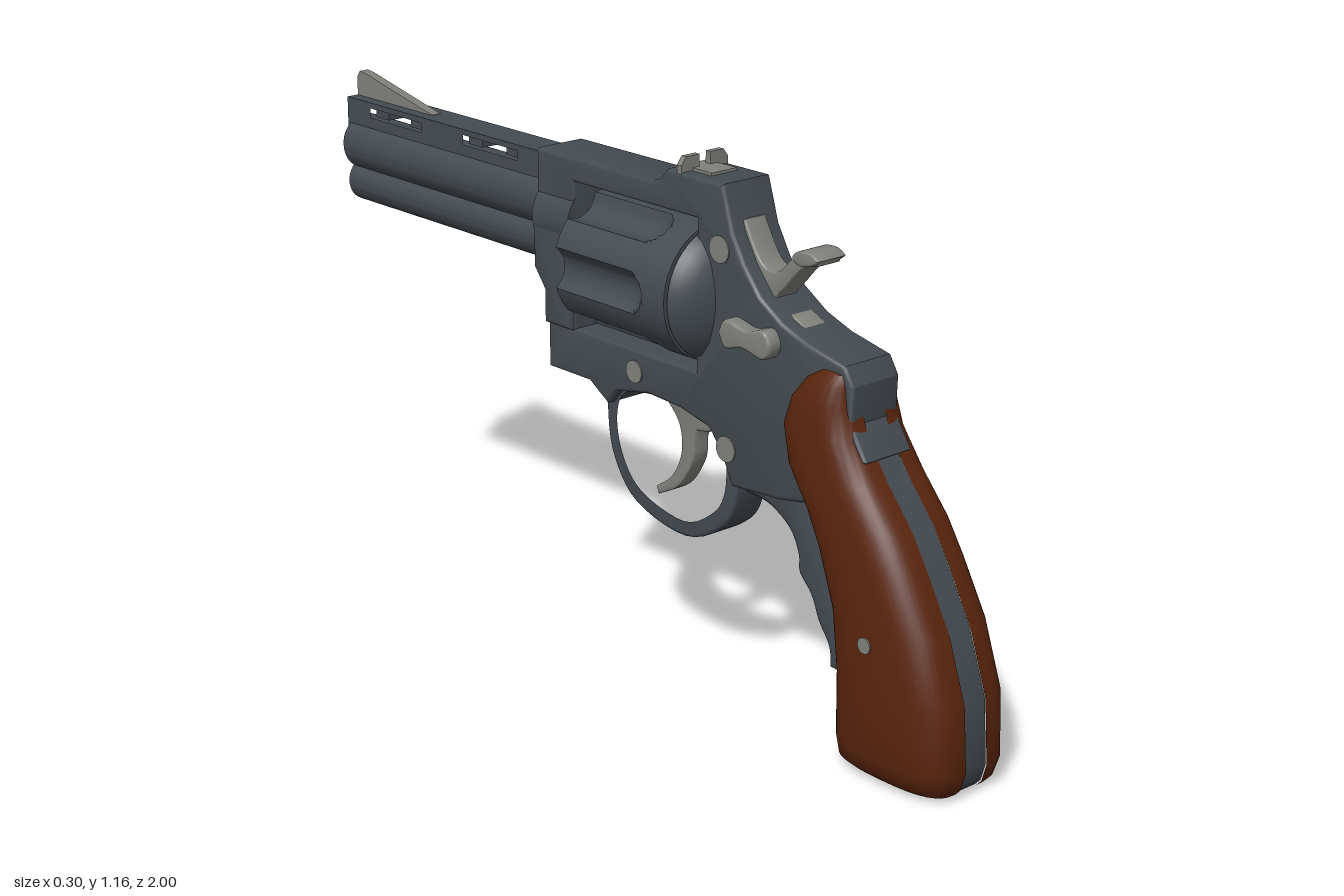
import * as THREE from 'three';
import { toCreasedNormals } from 'three/addons/utils/BufferGeometryUtils.js';

const gunmetal = new THREE.MeshStandardMaterial({ color: 0x444b51 });
gunmetal.name = 'gunmetal';
const steel = new THREE.MeshStandardMaterial({ color: 0x80807b });
steel.name = 'steel';
const wood = new THREE.MeshStandardMaterial({ color: 0x5a250c });
wood.name = 'wood';

const CYL_Y = 0.873, BORE_Y = 0.973;
const vecs = (pts) => pts.map(([a, b]) => new THREE.Vector2(a, b));

// Smooth outline through a few points
function spline(pts, closed = false) {
  const p = closed ? [...pts, pts[0]] : pts;
  return new THREE.SplineCurve(vecs(p)).getPoints(pts.length * 5).map((v) => [v.x, v.y]);
}

// Side profile in (z, y), extruded to +-half in x
function slab(pts, half, bevel = 0, holes = []) {
  const shape = new THREE.Shape(vecs(pts));
  holes.forEach((h) => shape.holes.push(new THREE.Path(vecs(h))));
  const g = new THREE.ExtrudeGeometry(shape, {
    depth: 2 * (half - bevel), bevelEnabled: bevel > 0, bevelSize: bevel,
    bevelThickness: bevel, bevelOffset: -bevel, bevelSegments: 3,
  });
  g.translate(0, 0, bevel - half).rotateY(-Math.PI / 2);
  return toCreasedNormals(g, 0.6);
}

// Turned part along z; profile in (radius, -z)
function turned(pts, y) {
  const g = new THREE.LatheGeometry(vecs(pts), 48);
  g.rotateX(-Math.PI / 2).translate(0, y, 0);
  return toCreasedNormals(g, 0.5);
}

const rect = (z0, z1, y0, y1) => [[z0, y0], [z1, y0], [z1, y1], [z0, y1]];

function box(w, h, d, x, y, z) {
  return new THREE.BoxGeometry(w, h, d).translate(x, y, z);
}

// Radius of the fluted cylinder at angle a and depth z
function fluteRadius(a, z) {
  const step = Math.PI / 3, d = a - Math.round(a / step) * step;
  const D = 0.17, q = 0.05 ** 2 - Math.max(0, z - 0.125) ** 2 - (D * Math.sin(d)) ** 2;
  return q > 0 ? Math.min(0.15, D * Math.cos(d) - Math.sqrt(q)) : 0.15;
}

// Grip rows: y, back z, front z, half width
const gripRows = [
  [0, 0.96, 0.72, 0.03], [0.006, 0.975, 0.7, 0.095], [0.02, 0.988, 0.688, 0.112],
  [0.06, 1, 0.684, 0.122], [0.2, 0.99, 0.685, 0.126], [0.334, 0.944, 0.668, 0.122],
  [0.45, 0.88, 0.625, 0.118], [0.52, 0.837, 0.588, 0.115], [0.6, 0.77, 0.532, 0.111],
  [0.68, 0.712, 0.515, 0.106], [0.74, 0.692, 0.535, 0.1], [0.785, 0.687, 0.572, 0.09],
  [0.81, 0.682, 0.61, 0.075], [0.82, 0.67, 0.64, 0.03],
];

function gripPanel(side) {
  const n = 25, pos = [], idx = [];
  gripRows.forEach(([y, zb, zf, w], r) => {
    for (let i = 0; i < n; i++) {
      const t = (i / (n - 1)) * Math.PI, c = Math.cos(t);
      const x = 0.03 + (w - 0.03) * Math.max(0, Math.sin(t)) ** 0.65;
      pos.push(side * x, y, (zb + zf) / 2 + ((zb - zf) / 2) * Math.sign(c) * Math.abs(c) ** 0.75);
      if (r && i) {
        const b = r * n + i, a = b - 1, q = a - n, p = b - n;
        if (side > 0) idx.push(q, p, a, p, b, a);
        else idx.push(q, a, p, p, a, b);
      }
    }
  });
  const g = new THREE.BufferGeometry();
  g.setAttribute('position', new THREE.Float32BufferAttribute(pos, 3));
  g.setIndex(idx);
  return toCreasedNormals(g, 0.9);
}

export function createModel() {
  const model = new THREE.Group();
  const add = (name, geometry, material) => {
    const m = new THREE.Mesh(geometry, material);
    m.name = name;
    model.add(m);
    return m;
  };

  // Frame with an open window for the cylinder
  add('frame', slab([
    [0.325, 1.125], [0.157, 1.125], [0.135, 1.1], [0.11, 1.092], [-0.26, 1.092], [-0.26, 0.83],
    [-0.225, 0.785], [-0.225, 0.607], [-0.09, 0.607], [-0.055, 0.585], [-0.03, 0.57], [0, 0.605],
    [0.1, 0.625], [0.2, 0.62], [0.29, 0.6], [0.33, 0.55], [0.36, 0.49], [0.5, 0.5], [0.6, 0.52],
    [0.74, 0.645], [0.697, 0.71], [0.7, 0.79], [0.676, 0.828], [0.57, 0.85], [0.5, 0.875],
    [0.436, 0.915], [0.39, 0.97], [0.355, 1.03],
  ], 0.067, 0.008, [rect(0.25, -0.137, 0.712, 1.04)]), gunmetal);
  add('recoilShield', turned([[0, -0.315], [0.06, -0.312], [0.11, -0.292], [0.138, -0.268],
    [0.147, -0.25], [0, -0.25]], CYL_Y), gunmetal);
  add('frontCollar', turned([[0, 0.137], [0.085, 0.137], [0.085, 0.255], [0.08, 0.26], [0, 0.26]],
    0.945), gunmetal);
  add('yoke', slab([[-0.14, 0.71], [-0.14, 0.95], [-0.26, 0.95], [-0.26, 0.83], [-0.225, 0.785],
    [-0.225, 0.71]], 0.082, 0.014), gunmetal);
  add('yokeBarrel', turned([[0, -0.24], [0.03, -0.24], [0.03, 0.15], [0, 0.15]], CYL_Y), steel);

  // Trigger guard
  add('triggerGuard', slab(spline([
    [0.357, 0.53], [0.35, 0.45], [0.31, 0.377], [0.195, 0.323], [0.04, 0.355], [-0.035, 0.44],
    [-0.056, 0.54], [-0.04, 0.62], [0.15, 0.66], [0.31, 0.62]], true), 0.045, 0.008,
  [spline([[0.332, 0.53], [0.326, 0.455], [0.29, 0.398], [0.195, 0.35], [0.055, 0.38], [-0.01, 0.45],
    [-0.03, 0.54], [0, 0.605], [0.1, 0.625], [0.2, 0.62], [0.295, 0.595]], true)]), gunmetal);

  // Trigger and hammer
  add('trigger', slab([[0.285, 0.64], [0.285, 0.6], [0.24, 0.565], [0.205, 0.56],
    ...spline([[0.197, 0.53], [0.193, 0.485], [0.15, 0.42], [0.085, 0.383]]),
    ...spline([[0.078, 0.4], [0.13, 0.44], [0.157, 0.5], [0.15, 0.56], [0.11, 0.605]]),
    [0.11, 0.64]], 0.022, 0.005), steel);
  add('hammer', slab([
    ...spline([[0.57, 1.012], [0.53, 1.024], [0.49, 1.0], [0.445, 0.962], [0.4, 0.975], [0.352, 1.052]]),
    [0.3, 1.05], [0.3, 0.84], [0.555, 0.85],
    ...spline([[0.505, 0.878], [0.445, 0.9], [0.475, 0.94], [0.52, 0.985], [0.565, 1.0]]),
  ], 0.03, 0.004), steel);
  add('hammerSpur', slab(spline([[0.572, 1.012], [0.55, 1.024], [0.515, 1.022], [0.498, 1.005],
    [0.52, 0.992], [0.555, 1.0]], true), 0.04, 0.004), steel);

  // Fluted cylinder with six chambers
  const drum = new THREE.CylinderGeometry(0.15, 0.15, 0.348, 144, 40, true);
  drum.rotateX(Math.PI / 2).translate(0, 0, 0.069);
  const p = drum.attributes.position;
  for (let i = 0; i < p.count; i++) {
    const a = Math.atan2(p.getY(i), p.getX(i)), r = fluteRadius(a, p.getZ(i));
    p.setXY(i, r * Math.cos(a), r * Math.sin(a));
  }
  add('cylinder', toCreasedNormals(drum.translate(0, CYL_Y, 0), 0.6), gunmetal);
  const face = new THREE.Shape();
  for (let i = 0; i < 144; i++) {
    const a = (i / 144) * Math.PI * 2, r = fluteRadius(a, -0.1) - 0.0005;
    face[i ? 'lineTo' : 'moveTo'](r * Math.cos(a), r * Math.sin(a));
  }
  for (let i = 0; i < 6; i++) {
    const a = Math.PI / 6 + (i * Math.PI) / 3;
    face.holes.push(new THREE.Path().absarc(0.1 * Math.cos(a), 0.1 * Math.sin(a), 0.042, 0, Math.PI * 2, true));
  }
  const core = new THREE.ExtrudeGeometry(face, { depth: 0.34, bevelEnabled: false, curveSegments: 24 });
  add('chambers', toCreasedNormals(core.translate(0, CYL_Y, -0.105), 0.6), gunmetal);
  add('cylinderBack', turned([[0, -0.243], [0.15, -0.243], [0.15, -0.234], [0, -0.234]], CYL_Y), gunmetal);

  // Barrel, muzzle and underlug
  add('barrel', turned([[0.065, 0.2], [0.065, 0.975], [0.058, 0.985], [0.03, 0.985]], 0.967), gunmetal);
  add('muzzle', turned([[0.046, 0.97], [0.046, 0.995], [0.041, 1], [0.031, 1], [0.028, 0.985],
    [0.028, 0.8], [0, 0.8]], BORE_Y - 0.003), steel);
  add('underlug', turned([[0.052, 0.2], [0.052, 0.975], [0.044, 0.985], [0, 0.985]], 0.878), gunmetal);

  // Vented rib
  const slots = [[-0.355, -0.548], [-0.702, -0.895]];
  add('rib', slab(rect(-0.25, -0.985, 1, 1.077), 0.042, 0,
    slots.map(([a, b]) => rect(a, b, 1.042, 1.064))), gunmetal);
  slots.forEach(([a, b]) => [a - 0.03, b + 0.024].forEach((z) =>
    add('ribWeb', box(0.05, 0.024, z === a - 0.03 ? 0.06 : 0.048, 0, 1.053, z), gunmetal)));

  // Sights
  add('frontSight', slab([[-0.7, 1.07], [-0.7, 1.078], [-0.95, 1.132], [-0.975, 1.135],
    [-0.985, 1.12], [-0.985, 1.07]], 0.012), steel);
  add('rearSightBase', box(0.07, 0.008, 0.09, 0, 1.127, 0.215), steel);
  for (const s of [-1, 1]) {
    const leaf = new THREE.Shape(vecs([[0.015, 1.12], [0.065, 1.12], [0.065, 1.14], [0.052, 1.157], [0.015, 1.157]]
      .map(([x, y]) => [s * x, y])));
    add('rearSightLeaf', new THREE.ExtrudeGeometry(leaf, { depth: 0.014, bevelEnabled: false })
      .translate(0, 0, 0.188), steel);
  }

  // Grip panels, strap between them and the finger rest
  for (const s of [-1, 1]) add(s > 0 ? 'leftGrip' : 'rightGrip', gripPanel(s), wood);
  const rows = gripRows.slice(0, 10);
  add('gripStrap', slab([...rows.map(([y, zb]) => [zb - 0.003, y + 0.002]),
    ...rows.map(([y, , zf]) => [zf + 0.003, y + 0.002]).reverse()], 0.031), gunmetal);
  add('fingerRest', slab([
    ...spline([[0.52, 0.575], [0.46, 0.592], [0.4, 0.578], [0.355, 0.53], [0.345, 0.495]]),
    ...spline([[0.4, 0.482], [0.46, 0.475], [0.52, 0.44], [0.545, 0.395], [0.55, 0.355], [0.585, 0.315],
      [0.608, 0.265], [0.638, 0.22], [0.642, 0.175]]),
    [0.677, 0.172], [0.695, 0.24], [0.68, 0.377], [0.62, 0.505]], 0.06, 0.016), gunmetal);

  // Screws and pins on both sides
  for (const [name, z, y, r, x] of [['framePin', 0.06, 0.665, 0.025, 0.068], ['guardPin', 0.345, 0.568, 0.028, 0.068],
    ['hammerPin', 0.32, 0.99, 0.029, 0.068], ['gripScrew', 0.805, 0.297, 0.017, 0.124]]) {
    add(name, new THREE.CylinderGeometry(r, r, 2 * x + 0.004, 20).rotateZ(Math.PI / 2).translate(0, y, z), steel);
  }

  // Cylinder release latch on the right side
  add('latch', slab(spline([[0.35, 0.83], [0.37, 0.86], [0.43, 0.85], [0.48, 0.86], [0.5, 0.83],
    [0.48, 0.8], [0.42, 0.81], [0.37, 0.8]], true), 0.02, 0.006).translate(-0.08, 0, 0), steel);

  return model;
}
